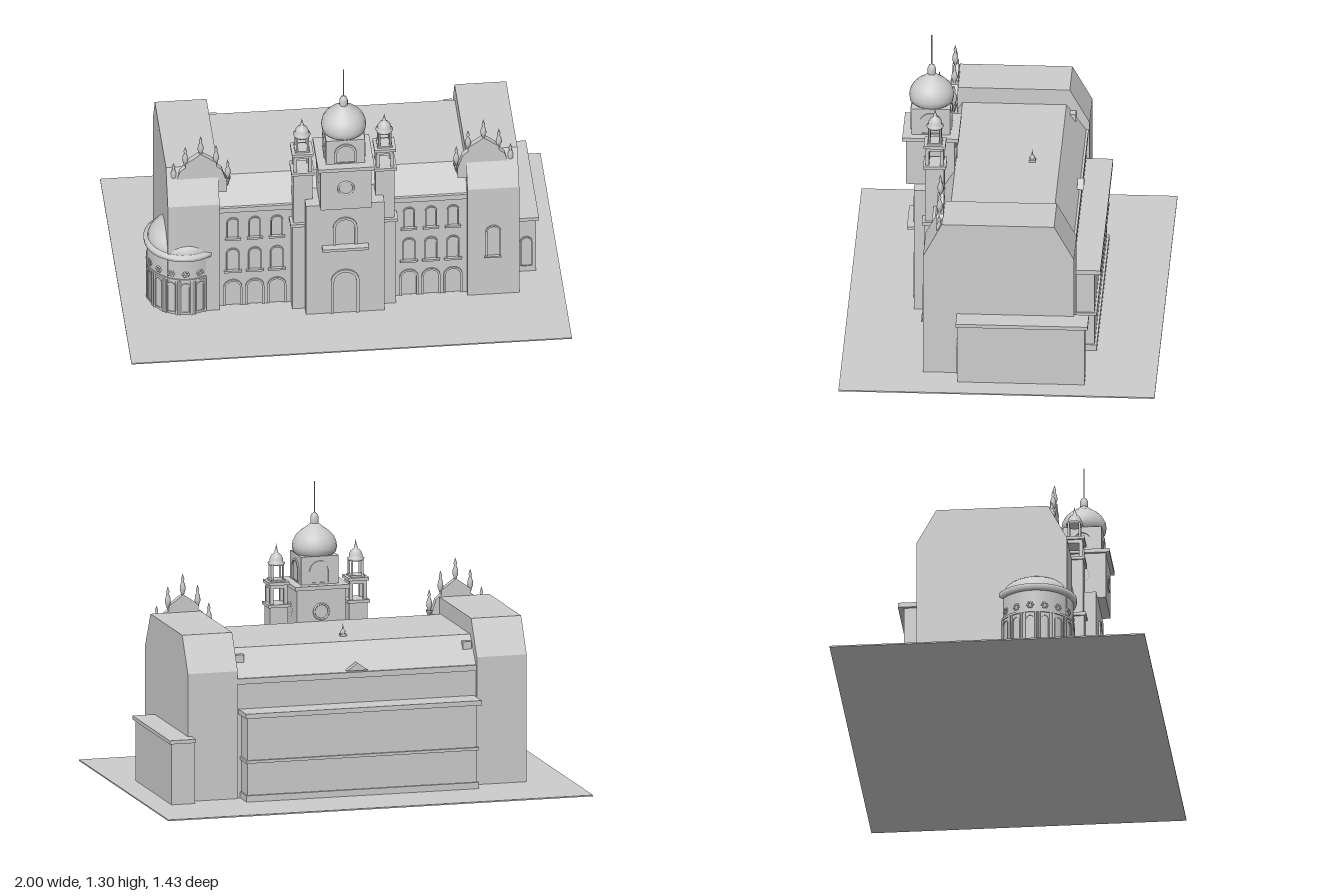
import * as THREE from 'three';

export function createModel() {
  const model = new THREE.Group();
  const stone = new THREE.MeshStandardMaterial({ color: 0xcccccc, name: 'stone' });
  stone.side = THREE.DoubleSide;

  const add = (name, geo, x = 0, y = 0, z = 0, parent = model) => {
    const m = new THREE.Mesh(geo, stone);
    m.name = name;
    m.position.set(x, y, z);
    parent.add(m);
    return m;
  };
  // Box given by its limits on each axis
  const box = (name, x0, x1, y0, y1, z0, z1, parent) =>
    add(name, new THREE.BoxGeometry(x1 - x0, y1 - y0, z1 - z0), (x0 + x1) / 2, (y0 + y1) / 2, (z0 + z1) / 2, parent);
  const lathe = (name, pts, x, y, z, seg = 20, parent = model) =>
    add(name, new THREE.LatheGeometry(pts.map(p => new THREE.Vector2(...p)), seg), x, y, z, parent);
  const extrude = (pts, depth) =>
    new THREE.ExtrudeGeometry(new THREE.Shape(pts.map(p => new THREE.Vector2(...p))), { depth, bevelEnabled: false });
  // Mansard block: profile points are [z, y], run along x
  const block = (name, pts, x0, x1) =>
    add(name, extrude(pts.map(([z, y]) => [-z, y]), x1 - x0), x0).rotation.y = Math.PI / 2;
  // Arched frame with an open middle, standing on its sill and facing +z
  const archShape = (w, h) => {
    const s = new THREE.Shape();
    s.moveTo(-w / 2, 0);
    s.lineTo(w / 2, 0);
    s.lineTo(w / 2, h - w / 2);
    s.absarc(0, h - w / 2, w / 2, 0, Math.PI, false);
    s.closePath();
    return s;
  };
  const archGeo = (w, h, t = 0.007) => {
    const s = archShape(w, h);
    s.holes.push(archShape(w * 0.78, h - w * 0.11));
    return new THREE.ExtrudeGeometry(s, { depth: t, bevelEnabled: false, curveSegments: 8 });
  };

  // Ground plate
  box('ground', -1, 1, 0, 0.006, -0.715, 0.715);

  // Long middle hall with mansard roof and eaves
  block('hall', [[0.312, 0], [0.312, 0.555], [0.235, 0.68], [-0.235, 0.68], [-0.325, 0.555], [-0.325, 0]], -0.57, 0.57);
  box('hallCornice', -0.565, 0.565, 0.53, 0.556, -0.335, 0.325);

  // Rear annex with plinth, band and cap
  box('rearAnnex', -0.54, 0.54, 0, 0.395, -0.42, -0.3);
  box('rearPlinth', -0.548, 0.548, 0, 0.035, -0.43, -0.3);
  box('rearBand', -0.548, 0.548, 0.183, 0.196, -0.43, -0.3);
  box('rearCap', -0.555, 0.555, 0.393, 0.415, -0.447, -0.3);

  // Side annex
  box('sideAnnex', 0.78, 0.89, 0, 0.29, -0.392, 0.183);
  box('sideAnnexCap', 0.78, 0.903, 0.288, 0.305, -0.407, 0.19);
  add('sideAnnexArch', archGeo(0.055, 0.16), 0.845, 0.04, 0.183);

  // Small fittings on the roof
  add('rearDormer', extrude([[-0.05, 0], [0.05, 0], [0, 0.035]], 0.03), 0, 0.565, -0.345);
  for (const s of [-1, 1]) box('roofVent', s * 0.535 - 0.02, s * 0.535 + 0.02, 0.62, 0.655, -0.28, -0.25);
  box('roofPedestal', -0.015, 0.015, 0.678, 0.69, -0.125, -0.095);
  lathe('roofFinial', [[0.01, 0], [0.012, 0.012], [0.004, 0.022], [0, 0.05]], 0, 0.69, -0.11, 8);

  // Wings with stepped front gables and pinnacles
  const spike = [[0.006, 0], [0.009, 0.012], [0.014, 0.025], [0.012, 0.045], [0.005, 0.065], [0.008, 0.073], [0, 0.1]];
  for (const s of [-1, 1]) {
    const a = s < 0 ? -0.798 : 0.563;
    block('wing', [[0.343, 0], [0.343, 0.593], [0.258, 0.755], [-0.25, 0.755], [-0.34, 0.593], [-0.34, 0]], a, a + 0.235);
    const g = s * 0.642;
    add('wingGable', extrude([[-0.118, 0.62], [0.118, 0.62], [0.118, 0.675], [0.095, 0.745], [0.07, 0.765],
      [0.07, 0.785], [0, 0.836], [-0.07, 0.785], [-0.07, 0.765], [-0.095, 0.745], [-0.118, 0.675]], 0.03), g, 0, 0.255);
    for (const [dx, y] of [[-0.123, 0.69], [-0.07, 0.775], [0, 0.83], [0.07, 0.775], [0.123, 0.69]])
      lathe('pinnacle', spike, g + dx, y, 0.272, 8);
    for (const d of [-0.123, 0.123])
      lathe('pinnacleCorbel', [[0, -0.05], [0.016, 0]], g + d, 0.695, 0.272, 8);
  }
  add('wingWindow', archGeo(0.07, 0.17), 0.68, 0.22, 0.343);
  box('wingWindowSill', 0.64, 0.715, 0.216, 0.223, 0.34, 0.356);

  // Three floors of windows on each half of the hall front
  for (const s of [-1, 1]) {
    for (let i = 0; i < 3; i++) {
      const x = s * (0.3 + i * 0.1);
      add('groundArch', archGeo(0.085, 0.14), x, 0.01, 0.312);
      add('middleArch', archGeo(0.06, 0.12), x, 0.205, 0.312);
      add('upperArch', archGeo(0.055, 0.11), x, 0.385, 0.312);
      box('windowSill', x - 0.04, x + 0.04, 0.193, 0.203, 0.31, 0.324);
      box('windowSill', x - 0.036, x + 0.036, 0.373, 0.383, 0.31, 0.324);
    }
  }

  // Central tower
  const tz = 0.345;
  box('towerBase', -0.178, 0.178, 0, 0.608, 0.2, 0.417);
  box('towerBalcony', -0.105, 0.105, 0.37, 0.384, 0.41, 0.452);
  add('towerWindow', archGeo(0.11, 0.15), 0, 0.386, 0.417);
  add('towerDoor', archGeo(0.13, 0.24), 0, 0.006, 0.417);
  box('towerMiddle', -0.115, 0.115, 0.608, 0.83, 0.235, 0.455);
  box('towerCornice', -0.128, 0.128, 0.828, 0.846, 0.217, 0.472);
  box('towerDrum', -0.088, 0.088, 0.846, 0.975, 0.257, 0.433);
  for (let i = 0; i < 4; i++) {
    const side = new THREE.Group();
    side.name = 'towerFace';
    side.position.z = tz;
    side.rotation.y = i * Math.PI / 2;
    model.add(side);
    add('drumArch', archGeo(0.1, 0.1), 0, 0.855, 0.087, side);
    add('clockRing', new THREE.TorusGeometry(0.035, 0.005, 6, 16), 0, 0.725, 0.111, side);
  }
  lathe('onionDome', [[0.085, 0], [0.098, 0.012], [0.102, 0.035], [0.098, 0.06], [0.085, 0.085], [0.065, 0.105],
    [0.04, 0.122], [0.018, 0.14], [0, 0.14]], 0, 0.972, tz, 24);
  lathe('domeFinial', [[0.016, 0], [0.019, 0.01], [0.019, 0.035], [0.012, 0.05], [0.003, 0.056], [0.003, 0.2], [0, 0.2]],
    0, 1.105, tz, 12);

  // Twin turrets with open stages and little domes
  for (const s of [-1, 1]) {
    const t = new THREE.Group();
    t.name = 'turret';
    t.position.set(s * 0.187, 0, 0.32);
    model.add(t);
    const sq = (name, r, y0, y1) => box(name, -r, r, y0, y1, -r, r, t);
    sq('turretLower', 0.048, 0, 0.47);
    sq('turretLedge', 0.057, 0.464, 0.48);
    sq('turretShaft', 0.043, 0.48, 0.75);
    sq('turretCap', 0.052, 0.746, 0.76);
    sq('arcadeTop', 0.04, 0.832, 0.85);
    sq('arcadeCornice', 0.049, 0.848, 0.862);
    sq('lanternSill', 0.034, 0.86, 0.87);
    for (const px of [-1, 1]) for (const pz of [-1, 1]) {
      box('arcadePier', px * 0.033 - 0.008, px * 0.033 + 0.008, 0.758, 0.835, pz * 0.033 - 0.008, pz * 0.033 + 0.008, t);
      add('lanternColumn', new THREE.CylinderGeometry(0.005, 0.005, 0.072, 8), px * 0.025, 0.904, pz * 0.025, t);
    }
    lathe('lanternRoof', [[0, 0], [0.036, 0], [0.04, 0.01], [0.03, 0.014], [0.031, 0.028], [0.022, 0.045],
      [0.008, 0.055], [0.008, 0.065], [0.004, 0.075], [0, 0.097]], 0, 0.935, 0, 16, t);
    box('turretFoot', s > 0 ? 0 : -0.048, s > 0 ? 0.048 : 0, 0, 0.47, -0.1, 0.048, t);
  }

  // Round corner pavilion with dome, columns, doors and rosettes
  const p = new THREE.Group();
  p.name = 'roundPavilion';
  p.position.set(-0.71, 0, 0.197);
  model.add(p);
  add('pavilionWall', new THREE.CylinderGeometry(0.168, 0.168, 0.31, 40), 0, 0.155, 0, p);
  lathe('pavilionCornice', [[0.165, 0.298], [0.174, 0.303], [0.182, 0.308], [0.184, 0.328], [0.165, 0.333]], 0, 0, 0, 40, p);
  const dome = add('pavilionDome', new THREE.SphereGeometry(0.165, 32, 10, 0, Math.PI * 2, 0, Math.PI / 2), 0, 0.325, 0, p);
  dome.scale.y = 0.58;
  add('pavilionBand', new THREE.CylinderGeometry(0.173, 0.173, 0.01, 40), 0, 0.197, 0, p);
  for (let i = 0; i < 9; i++) {
    const bay = new THREE.Group();
    bay.name = 'pavilionBay';
    bay.rotation.y = -2.45 + i * 0.4;
    p.add(bay);
    for (const x of [-0.026, 0.026])
      add('pavilionColumn', new THREE.CylinderGeometry(0.005, 0.005, 0.19, 8), x, 0.1, 0.167, bay);
    add('pavilionDoor', archGeo(0.04, 0.16), 0, 0.02, 0.164, bay);
    for (let k = 0; k < 6; k++)
      add('rosettePetal', new THREE.SphereGeometry(0.006, 6, 4),
        0.012 * Math.cos(k * Math.PI / 3), 0.228 + 0.012 * Math.sin(k * Math.PI / 3), 0.167, bay);
  }
  return model;
}
